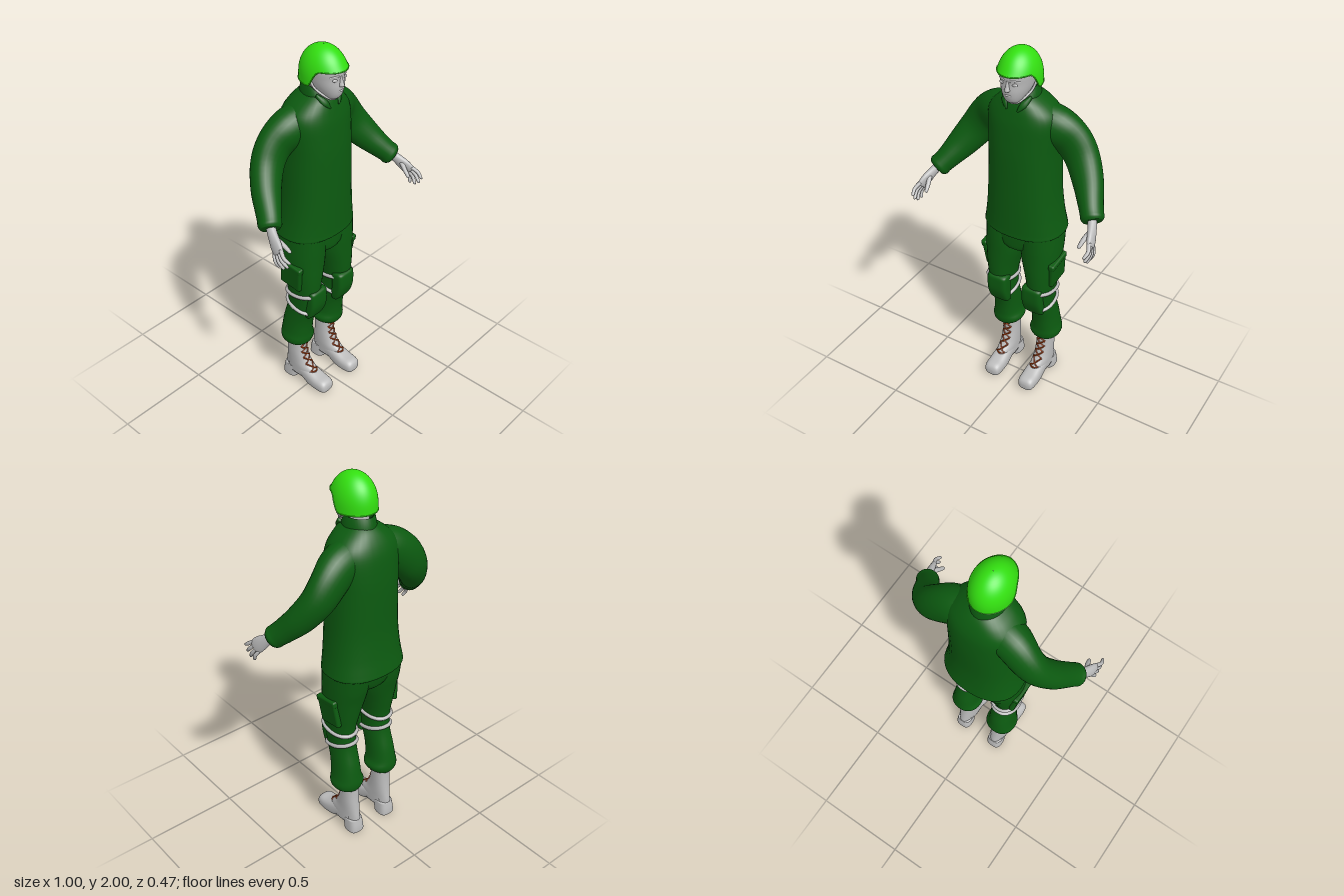
import * as THREE from 'three';
import { RoundedBoxGeometry } from 'three/addons/geometries/RoundedBoxGeometry.js';

const V = (x, y, z) => new THREE.Vector3(x, y, z);
const mat = (name, color, extra = {}) => new THREE.MeshStandardMaterial({ name, color, ...extra });

// Skin over closed rings, each counter-clockwise about the direction of travel
function loft(rings, capped = true) {
  const n = rings[0].length, pos = [], idx = [];
  rings.forEach(r => r.forEach(p => pos.push(p.x, p.y, p.z)));
  for (let i = 0; i < rings.length - 1; i++)
    for (let j = 0; j < n; j++) {
      const a = i * n + j, b = i * n + (j + 1) % n;
      idx.push(a, b, a + n, b, b + n, a + n);
    }
  if (capped) [0, rings.length - 1].forEach((k, end) => {
    const c = rings[k].reduce((s, p) => s.add(p), V(0, 0, 0)).divideScalar(n);
    const ci = pos.length / 3;
    pos.push(c.x, c.y, c.z);
    for (let j = 0; j < n; j++) {
      const a = k * n + j, b = k * n + (j + 1) % n;
      idx.push(ci, end ? a : b, end ? b : a);
    }
  });
  const g = new THREE.BufferGeometry();
  g.setAttribute('position', new THREE.Float32BufferAttribute(pos, 3));
  g.setIndex(idx);
  g.computeVertexNormals();
  return g;
}

// Catmull-Rom through every column of a table
function smooth(rows, n = 4) {
  const out = [];
  for (let i = 0; i < rows.length - 1; i++)
    for (let k = 0; k < n; k++) {
      const t = k / n, r = j => rows[Math.min(rows.length - 1, Math.max(0, j))];
      out.push(rows[i].map((_, c) => {
        const [p0, p1, p2, p3] = [r(i - 1)[c], r(i)[c], r(i + 1)[c], r(i + 2)[c]];
        return p1 + 0.5 * t * (p2 - p0 + t * (2 * p0 - 5 * p1 + 4 * p2 - p3 + t * (3 * (p1 - p2) + p3 - p0)));
      }));
    }
  out.push(rows.at(-1));
  return out;
}

// Rounded outline with exponent e, as unit [u, v] points
const outline = (e, n = 32) => Array.from({ length: n }, (_, i) => {
  const a = i / n * Math.PI * 2, c = Math.cos(a), s = Math.sin(a);
  return [Math.sign(c) * Math.abs(c) ** (2 / e), Math.sign(s) * Math.abs(s) ** (2 / e)];
});
// Upright form: rows of [y, x0, x1, z0, z1], going up
const upright = (rows, e = 2) => loft(smooth(rows).map(([y, x0, x1, z0, z1]) =>
  outline(e).map(([u, v]) => V((x0 + x1) / 2 + u * (x1 - x0) / 2, y, (z0 + z1) / 2 - v * (z1 - z0) / 2))));
// Form lying along z: rows of [z, x0, x1, y0, y1], going forward
const lying = (rows, e = 2) => loft(smooth(rows).map(([z, x0, x1, y0, y1]) =>
  outline(e).map(([u, v]) => V((x0 + x1) / 2 + u * (x1 - x0) / 2, (y0 + y1) / 2 + v * (y1 - y0) / 2, z))));
// Limb: rows of [x, y, z, r1, r2] along a bent centre line
function limb(rows, ref, n = 20, steps = 4) {
  const s = smooth(rows, steps), c = s.map(r => V(r[0], r[1], r[2]));
  return loft(s.map((r, i) => {
    const t = c[Math.min(i + 1, c.length - 1)].clone().sub(c[Math.max(i - 1, 0)]).normalize();
    const a = ref.clone().cross(t).normalize(), b = t.clone().cross(a);
    return outline(2, n).map(([u, v]) => c[i].clone().addScaledVector(a, u * r[3]).addScaledVector(b, v * r[4]));
  }));
}
const tube = (pts, r, closed = false) => new THREE.TubeGeometry(new THREE.CatmullRomCurve3(pts, closed), closed ? 40 : 12, r, 6, closed);

function mirror(geo) {
  const g = geo.clone().applyMatrix4(new THREE.Matrix4().makeScale(-1, 1, 1));
  const ix = g.index ? Array.from(g.index.array) : Array.from({ length: g.attributes.position.count }, (_, i) => i);
  for (let i = 0; i < ix.length; i += 3) [ix[i], ix[i + 1]] = [ix[i + 1], ix[i]];
  g.setIndex(ix);
  return g;
}
// Row of a table at height y
function at(rows, y) {
  const s = smooth(rows), i = Math.max(1, s.findIndex(r => r[0] >= y));
  const t = (y - s[i - 1][0]) / (s[i][0] - s[i - 1][0]);
  return s[i].map((v, c) => s[i - 1][c] + (v - s[i - 1][c]) * t);
}

export function createModel() {
  const model = new THREE.Group();
  model.name = 'soldier';
  const cloth = mat('uniform green', 0x0c5a10);
  const shell = mat('helmet green', 0x33e010, { side: THREE.DoubleSide });
  const grey = mat('light grey', 0xbcbcbc);
  const rust = mat('lace rust', 0xa83c08);
  const add = (name, g, m) => {
    const mesh = new THREE.Mesh(g, m);
    mesh.name = name;
    model.add(mesh);
  };
  const pair = (name, g, m) => { add(name + 'Left', g, m); add(name + 'Right', mirror(g), m); };
  const sym = rows => rows.map(([y, w, z0, z1]) => [y, -w, w, z0, z1]);

  // Jacket, hips and collar
  add('jacket', upright(sym([[1.005, 0.2, -0.22, 0.085], [1.012, 0.215, -0.235, 0.1], [1.04, 0.211, -0.232, 0.1],
    [1.12, 0.198, -0.22, 0.1], [1.25, 0.186, -0.21, 0.1], [1.45, 0.18, -0.21, 0.098], [1.55, 0.183, -0.206, 0.092],
    [1.63, 0.185, -0.197, 0.084], [1.68, 0.172, -0.183, 0.074], [1.72, 0.135, -0.163, 0.064],
    [1.75, 0.095, -0.14, 0.054], [1.77, 0.065, -0.115, 0.035]]), 2.3), cloth);
  add('hips', upright(sym([[0.885, 0.03, -0.1, 0.02], [0.91, 0.1, -0.17, 0.065], [0.96, 0.175, -0.195, 0.073],
    [1.03, 0.2, -0.21, 0.075]]), 2.3), cloth);
  const collarRings = [[1.725, 0.088, 0.105], [1.765, 0.079, 0.094], [1.81, 0.07, 0.085], [1.805, 0.06, 0.075], [1.73, 0.06, 0.075]];
  add('collar', loft(collarRings.map(([y, rx, rz]) => outline(2, 40).map(([u, v]) => {
    const dip = Math.max(0, -v) ** 2 * (y > 1.75 ? 0.055 : 0.02);
    return V(u * rx, y - dip - 0.015 * Math.max(0, -v), -0.035 - v * rz);
  })), false), cloth);
  pair('collarTip', limb([[0.07, 1.775, 0.015, 0.008, 0.012], [0.05, 1.745, 0.052, 0.016, 0.008],
    [0.028, 1.712, 0.068, 0.004, 0.004]], V(0, 0, 1), 12), cloth);

  // Sleeves with gathered cuffs
  pair('sleeve', limb([[0.08, 1.625, -0.065, 0.1, 0.095], [0.16, 1.6, -0.08, 0.104, 0.09], [0.23, 1.545, -0.097, 0.1, 0.076],
    [0.29, 1.468, -0.088, 0.09, 0.073], [0.35, 1.382, -0.04, 0.077, 0.069], [0.395, 1.318, 0.015, 0.062, 0.062],
    [0.42, 1.285, 0.047, 0.056, 0.058], [0.433, 1.268, 0.063, 0.057, 0.056], [0.441, 1.258, 0.073, 0.047, 0.045]], V(0, 0, 1), 28), cloth);

  // Hands: palm, four fingers and thumb
  const X = V(1, 0, 0);
  pair('palm', limb([[0.43, 1.275, 0.06, 0.024, 0.022], [0.45, 1.245, 0.095, 0.028, 0.021], [0.467, 1.212, 0.132, 0.038, 0.019],
    [0.477, 1.188, 0.157, 0.037, 0.015], [0.479, 1.182, 0.163, 0.028, 0.009]], X), grey);
  [[0.113, 0.166], [0.116, 0.196], [0.135, 0.22], [0.163, 0.234]].forEach(([y, z], i) => {
    const k = (i - 1.5) * 0.0185, a = [0.476, 1.192 + k * 0.65, 0.152 + k * 0.75];
    pair('finger' + (i + 1), limb([[...a, 0.009, 0.011], [0.49, (a[1] + 1 + y) / 2, (a[2] + z) / 2, 0.0095, 0.0095],
      [0.483, 1.004 + y, z - 0.003, 0.0075, 0.0075], [0.481, 1 + y, z, 0.003, 0.003]], X, 10), grey);
  });
  pair('thumb', limb([[0.458, 1.24, 0.11, 0.012, 0.012], [0.442, 1.212, 0.15, 0.012, 0.012],
    [0.433, 1.182, 0.185, 0.009, 0.009], [0.433, 1.176, 0.192, 0.003, 0.003]], X, 10), grey);

  // Trouser legs
  const leg = [[0.285, 0.068, 0.165, -0.155, -0.025], [0.3, 0.045, 0.195, -0.166, -0.005], [0.33, 0.032, 0.203, -0.172, 0.002],
    [0.37, 0.047, 0.194, -0.168, 0.002], [0.45, 0.052, 0.185, -0.155, 0.012], [0.55, 0.052, 0.18, -0.13, 0.042],
    [0.65, 0.05, 0.186, -0.125, 0.06], [0.75, 0.032, 0.196, -0.145, 0.068], [0.85, 0.007, 0.204, -0.168, 0.071],
    [0.93, 0, 0.205, -0.19, 0.074], [1.03, 0, 0.202, -0.208, 0.075]];
  pair('trouserLeg', upright(leg, 2.2), cloth);
  const pocket = new RoundedBoxGeometry(0.03, 0.155, 0.135, 3, 0.012);
  pocket.rotateX(0.13).rotateZ(-0.1).translate(0.195, 0.785, -0.045);
  pair('cargoPocket', pocket, cloth);
  const flap = new RoundedBoxGeometry(0.034, 0.035, 0.142, 3, 0.01);
  flap.rotateX(0.13).rotateZ(-0.1).translate(0.202, 0.848, -0.037);
  pair('pocketFlap', flap, cloth);

  // Knee pads and their straps
  pair('kneePad', upright([[0.505, 0.062, 0.15, 0, 0.03], [0.515, 0.052, 0.158, 0, 0.044], [0.55, 0.048, 0.162, 0, 0.062],
    [0.6, 0.047, 0.163, 0, 0.076], [0.66, 0.047, 0.163, 0, 0.077], [0.682, 0.05, 0.16, 0, 0.073], [0.69, 0.062, 0.15, 0, 0.06]], 4), cloth);
  [['upperKneeStrap', 0.651, 0.013], ['lowerKneeStrap', 0.56, -0.024]].forEach(([name, y, slant]) => {
    const pts = outline(2.2, 24).map(([u, v]) => {
      const h = y - v * slant, [, x0, x1, z0, z1] = at(leg, h);
      return V((x0 + x1) / 2 + u * (x1 - x0 + 0.006) / 2, h, (z0 + z1) / 2 - v * (z1 - z0 + 0.006) / 2);
    });
    pair(name, tube(pts, 0.011, true), grey);
  });

  // Boots
  const shaft = [[0.05, 0.066, 0.152, -0.172, 0.05], [0.1, 0.065, 0.153, -0.168, 0.042], [0.14, 0.065, 0.153, -0.162, -0.004],
    [0.19, 0.065, 0.154, -0.156, -0.03], [0.24, 0.065, 0.154, -0.152, -0.041], [0.32, 0.065, 0.154, -0.15, -0.045]];
  pair('bootShaft', upright(shaft, 2.2), grey);
  pair('bootHeel', upright([[0, 0.068, 0.15, -0.176, -0.09], [0.006, 0.064, 0.154, -0.18, -0.088],
    [0.04, 0.065, 0.153, -0.178, -0.08], [0.08, 0.068, 0.15, -0.17, -0.07]], 3), grey);
  pair('bootFoot', lying([[-0.13, 0.072, 0.146, 0.04, 0.12], [-0.08, 0.066, 0.152, 0.036, 0.13], [-0.035, 0.065, 0.153, 0.03, 0.122],
    [0, 0.063, 0.155, 0.012, 0.114], [0.03, 0.06, 0.157, 0.005, 0.103], [0.07, 0.059, 0.158, 0.004, 0.09],
    [0.11, 0.062, 0.155, 0.005, 0.083], [0.13, 0.071, 0.146, 0.013, 0.07], [0.137, 0.09, 0.127, 0.028, 0.052]], 2.6), grey);

  // Crossed laces, held to the front of the shaft
  const onShaft = (dx, y) => {
    const [, x0, x1, z0, z1] = at(shaft, y), f = Math.abs(dx) / ((x1 - x0) / 2);
    return V((x0 + x1) / 2 + dx, y, (z0 + z1) / 2 + (z1 - z0) / 2 * (1 - f ** 2.2) ** (1 / 2.2) + 0.002);
  };
  for (let i = 0; i < 5; i++)
    [1, -1].forEach((d, k) => {
      const pts = [-1, -0.5, 0, 0.5, 1].map(t => onShaft(t * d * 0.025, 0.122 + 0.035 * i + t * 0.0175));
      pair(`lace${i + 1}${'ab'[k]}`, tube(pts, 0.004), rust);
    });
  pair('laceBase', tube([-1, 0, 1].map(t => onShaft(t * 0.025, 0.104)), 0.004), rust);

  // Neck, head and face
  add('neck', upright(sym([[1.7, 0.056, -0.09, 0.025], [1.78, 0.052, -0.085, 0.02], [1.86, 0.055, -0.085, 0.03]])), grey);
  add('head', upright(sym([[1.755, 0.018, 0.03, 0.072], [1.762, 0.034, 0.01, 0.088], [1.785, 0.05, -0.03, 0.102],
    [1.82, 0.066, -0.075, 0.108], [1.86, 0.075, -0.09, 0.106], [1.9, 0.079, -0.095, 0.108], [1.94, 0.07, -0.085, 0.09],
    [1.97, 0.04, -0.05, 0.05]]), 2.2), grey);
  add('nose', upright(sym([[1.825, 0.007, 0.09, 0.112], [1.831, 0.014, 0.09, 0.122], [1.85, 0.01, 0.09, 0.116],
    [1.88, 0.006, 0.09, 0.108]])), grey);
  add('lips', tube([V(-0.022, 1.803, 0.096), V(0, 1.805, 0.107), V(0.022, 1.803, 0.096)], 0.005), grey);
  pair('eyelid', new THREE.SphereGeometry(1, 14, 10).scale(0.015, 0.008, 0.008).translate(0.032, 1.862, 0.096), grey);
  pair('brow', tube([V(0.012, 1.878, 0.106), V(0.032, 1.881, 0.1), V(0.053, 1.876, 0.082)], 0.005), grey);
  pair('chinStrap', tube([V(0.08, 1.85, -0.015), V(0.07, 1.81, 0.005), V(0.052, 1.78, 0.04), V(0.025, 1.758, 0.068), V(0, 1.756, 0.074)], 0.006), grey);
  pair('napeStrap', tube([V(0.076, 1.84, -0.04), V(0.066, 1.812, -0.01), V(0.054, 1.785, 0.03)], 0.005), grey);

  // Helmet: raised brow, lower over the ears and nape
  const rings = [];
  for (let i = 0; i <= 18; i++) {
    const u = Math.sin(i / 18 * Math.PI / 2);
    rings.push(outline(2, 64).map(([cx, v]) => {
      const rim = 1.905 - 0.08 * THREE.MathUtils.smoothstep(v, -0.42, 0.08) + 0.004 * Math.max(0, v);
      const y = rim + (2 - rim) * u;
      const f = Math.sqrt(Math.max(0.0001, 1 - Math.max(0, (y - 1.855) / 0.145) ** 2.1));
      const flare = 1 + 0.07 * (1 - u) ** 4 * Math.max(0, -v);
      return V(cx * 0.101 * f, y, -0.002 - v * 0.125 * f * flare);
    }));
  }
  add('helmet', loft(rings, false), shell);
  add('helmetRim', tube(rings[0].map(p => p.clone()), 0.003, true), shell);
  return model;
}
